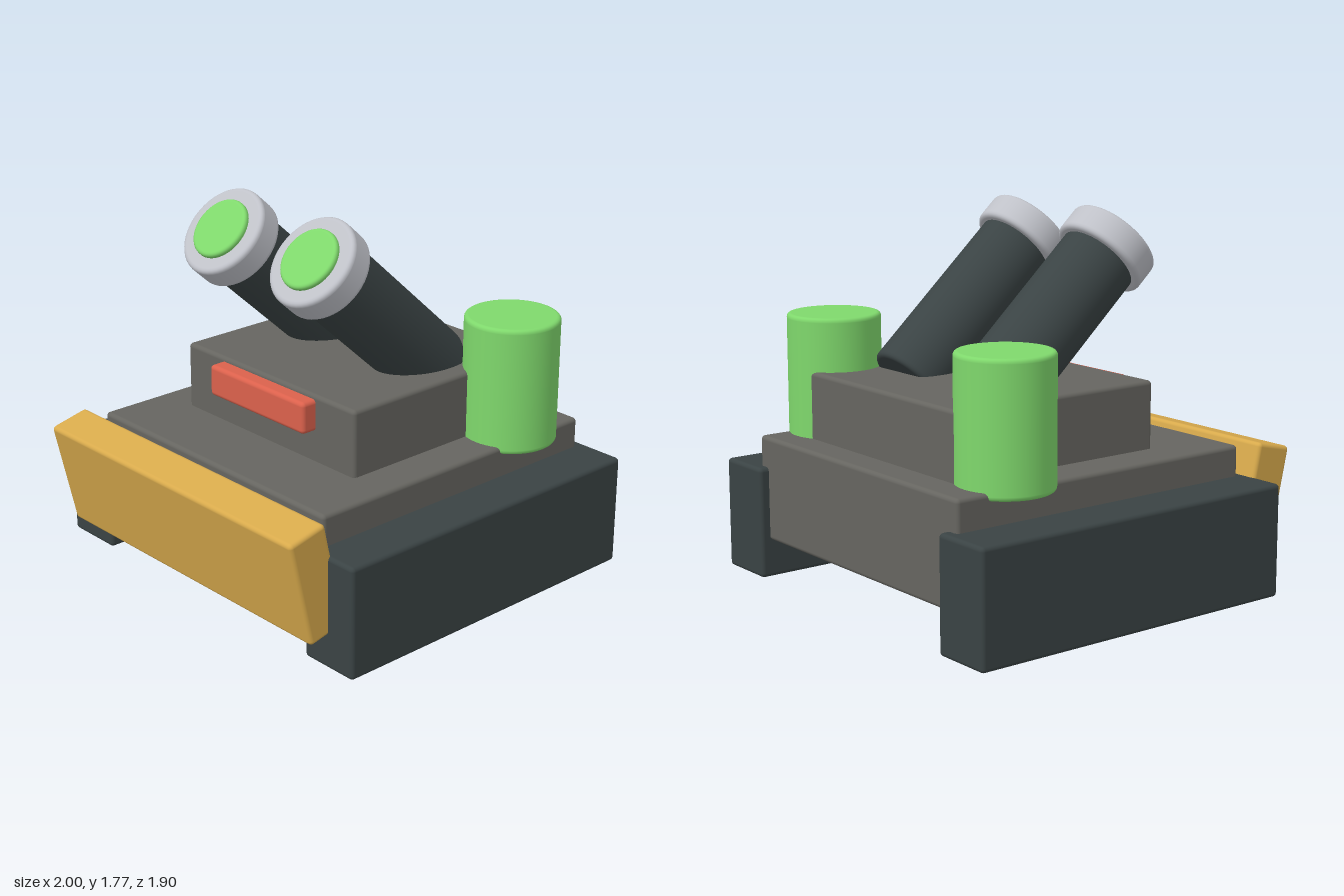
import * as THREE from 'three';
import { RoundedBoxGeometry } from 'three/addons/geometries/RoundedBoxGeometry.js';

const mat = (name, color) => {
  const m = new THREE.MeshStandardMaterial({ color });
  m.name = name;
  return m;
};

// Upright cylinder from y0 to y1 with softly rounded rims
function roundedCylinder(r, y0, y1, bevel) {
  const e = 0.003, pts = [new THREE.Vector2(0, y0), new THREE.Vector2(r - bevel - e, y0)];
  for (let i = 0; i <= 4; i++) {
    const a = (i / 4) * Math.PI / 2;
    pts.push(new THREE.Vector2(r - bevel + bevel * Math.sin(a), y0 + bevel - bevel * Math.cos(a)));
  }
  pts.push(new THREE.Vector2(r, y0 + bevel + e), new THREE.Vector2(r, y1 - bevel - e));
  for (let i = 0; i <= 4; i++) {
    const a = (i / 4) * Math.PI / 2;
    pts.push(new THREE.Vector2(r - bevel + bevel * Math.cos(a), y1 - bevel + bevel * Math.sin(a)));
  }
  pts.push(new THREE.Vector2(r - bevel - e, y1), new THREE.Vector2(0, y1));
  return new THREE.LatheGeometry(pts, 48);
}

export function createModel() {
  const dark = mat('dark slate', 0x3a4344);
  const grey = mat('warm grey', 0x666560);
  const green = mat('bright green', 0x7fd86c);
  const gold = mat('gold', 0xd8aa4c);
  const red = mat('red', 0xdb614c);
  const silver = mat('silver', 0xbfc1c8);

  const model = new THREE.Group();
  model.name = 'trackedVehicle';

  const add = (name, geometry, material, x = 0, y = 0, z = 0, parent = model) => {
    const mesh = new THREE.Mesh(geometry, material);
    mesh.name = name;
    mesh.position.set(x, y, z);
    parent.add(mesh);
    return mesh;
  };
  const box = (name, material, [x0, x1], [y0, y1], [z0, z1], bevel = 0.02) =>
    add(name, new RoundedBoxGeometry(x1 - x0, y1 - y0, z1 - z0, 3, bevel), material,
      (x0 + x1) / 2, (y0 + y1) / 2, (z0 + z1) / 2);

  // Body
  box('hull', grey, [-0.77, 0.77], [0.18, 0.675], [-0.905, 0.7]);
  box('upperDeck', grey, [-0.575, 0.575], [0.6, 0.99], [-0.755, 0.345]);
  box('frontPanel', red, [-0.325, 0.325], [0.82, 0.97], [0.27, 0.42]);

  // Front blade, its top leaning forward
  const blade = add('blade', new RoundedBoxGeometry(1.7, 0.52, 0.2, 3, 0.02), gold, 0, 0.415, 0.8);
  blade.rotation.x = 0.225;

  for (const [side, s] of [['left', 1], ['right', -1]]) {
    const x0 = s > 0 ? 0.7 : -1;
    box(side + 'Track', dark, [x0, x0 + 0.3], [0, 0.53], [-0.953, 0.745]);

    // Rear tank
    add(side + 'Tank', roundedCylinder(0.22, 0.64, 1.24, 0.018), green, s * 0.65, 0, -0.56);

    // Raised barrel; local y runs along its axis and y = 0 is the muzzle face
    const barrel = new THREE.Group();
    barrel.name = side + 'Barrel';
    barrel.position.set(s * 0.3, 1.61, 0.35);
    barrel.rotation.x = THREE.MathUtils.degToRad(48);
    model.add(barrel);
    add(side + 'BarrelTube', roundedCylinder(0.185, -1, -0.03, 0.02), dark, 0, 0, 0, barrel);
    add(side + 'MuzzleRing', roundedCylinder(0.222, -0.14, 0, 0.02), silver, 0, 0, 0, barrel);
    add(side + 'MuzzleLens', roundedCylinder(0.148, -0.03, 0.025, 0.015), green, 0, 0, 0, barrel);
  }
  return model;
}
